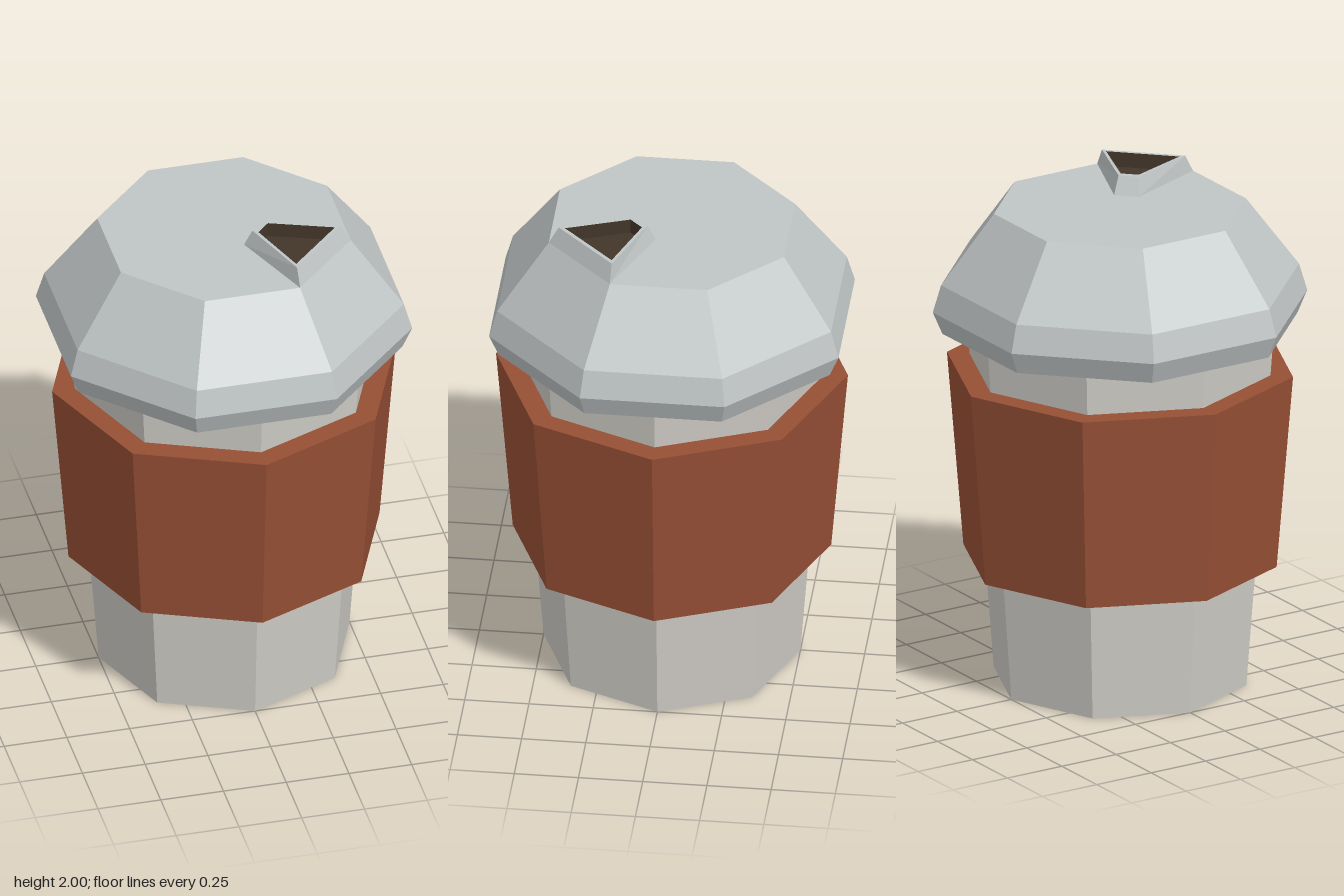
import * as THREE from 'three';

const material = (color) => new THREE.MeshStandardMaterial({ color, flatShading: true });

// Eight-sided ring swept from a bottom-to-top [radius, y] profile
function octagon(name, profile, mat, turn = 0) {
  const points = profile.map(([r, y]) => new THREE.Vector2(r, y));
  const mesh = new THREE.Mesh(new THREE.LatheGeometry(points, 8, turn), mat);
  mesh.name = name;
  return mesh;
}

// Joins stacked loops of [x, z] corners, anticlockwise from above; optionally caps the last one
function loft(name, loops, mat, cap = false) {
  const n = loops[0].corners.length;
  const positions = loops.flatMap(({ y, corners }) => corners.flatMap(([x, z]) => [x, y, z]));
  const index = [];
  for (let l = 0; l < loops.length - 1; l++) {
    for (let i = 0; i < n; i++) {
      const a = l * n + i, b = l * n + (i + 1) % n;
      index.push(a, b, b + n, a, b + n, a + n);
    }
  }
  const last = (loops.length - 1) * n;
  if (cap) for (let i = 1; i < n - 1; i++) index.push(last, last + i, last + i + 1);
  const geometry = new THREE.BufferGeometry();
  geometry.setAttribute('position', new THREE.Float32BufferAttribute(positions, 3));
  geometry.setIndex(index);
  geometry.computeVertexNormals();
  const mesh = new THREE.Mesh(geometry, mat);
  mesh.name = name;
  return mesh;
}

export function createModel() {
  const group = new THREE.Group();
  group.name = 'takeawayCup';
  const cupMat = material(0xcfccc6);
  const sleeveMat = material(0x964f35);
  const lidMat = material(0xbfc4c5);
  const drinkMat = material(0x43362a);

  // Tapered cup, corners on the x and z axes
  group.add(octagon('cup', [[0, 0], [0.5, 0], [0.612, 1.5], [0, 1.5]], cupMat));

  // Thick sleeve around the cup
  group.add(octagon('sleeve', [[0.53, 0.495], [0.62, 0.495], [0.685, 1.28], [0.59, 1.28]], sleeveMat));

  // Domed lid, flat sides on the axes; radii given as flat-side distances
  const lidProfile = [[0.54, 1.45], [0.645, 1.45], [0.68, 1.54], [0.65, 1.65], [0.458, 1.93], [0, 1.93]];
  group.add(octagon('lid', lidProfile.map(([r, y]) => [r / Math.cos(Math.PI / 8), y]), lidMat, Math.PI / 8));

  // Wedge-shaped spout at the front left edge of the lid, mirrored about the diagonal
  const wedge = (inner, outer) => [inner, outer, [outer[1], outer[0]], [inner[1], inner[0]]];
  const hole = wedge([0.1, 0.15], [0.19, 0.395]);
  group.add(loft('spout', [
    { y: 1.93, corners: wedge([0.05, 0.12], [0.19, 0.458]) },
    { y: 2, corners: wedge([0.08, 0.135], [0.187, 0.42]) },
    { y: 2, corners: hole },
  ], lidMat));

  // Dark opening inside the spout
  group.add(loft('drinkOpening', [{ y: 2, corners: hole }, { y: 1.94, corners: hole }], drinkMat, true));
  return group;
}
